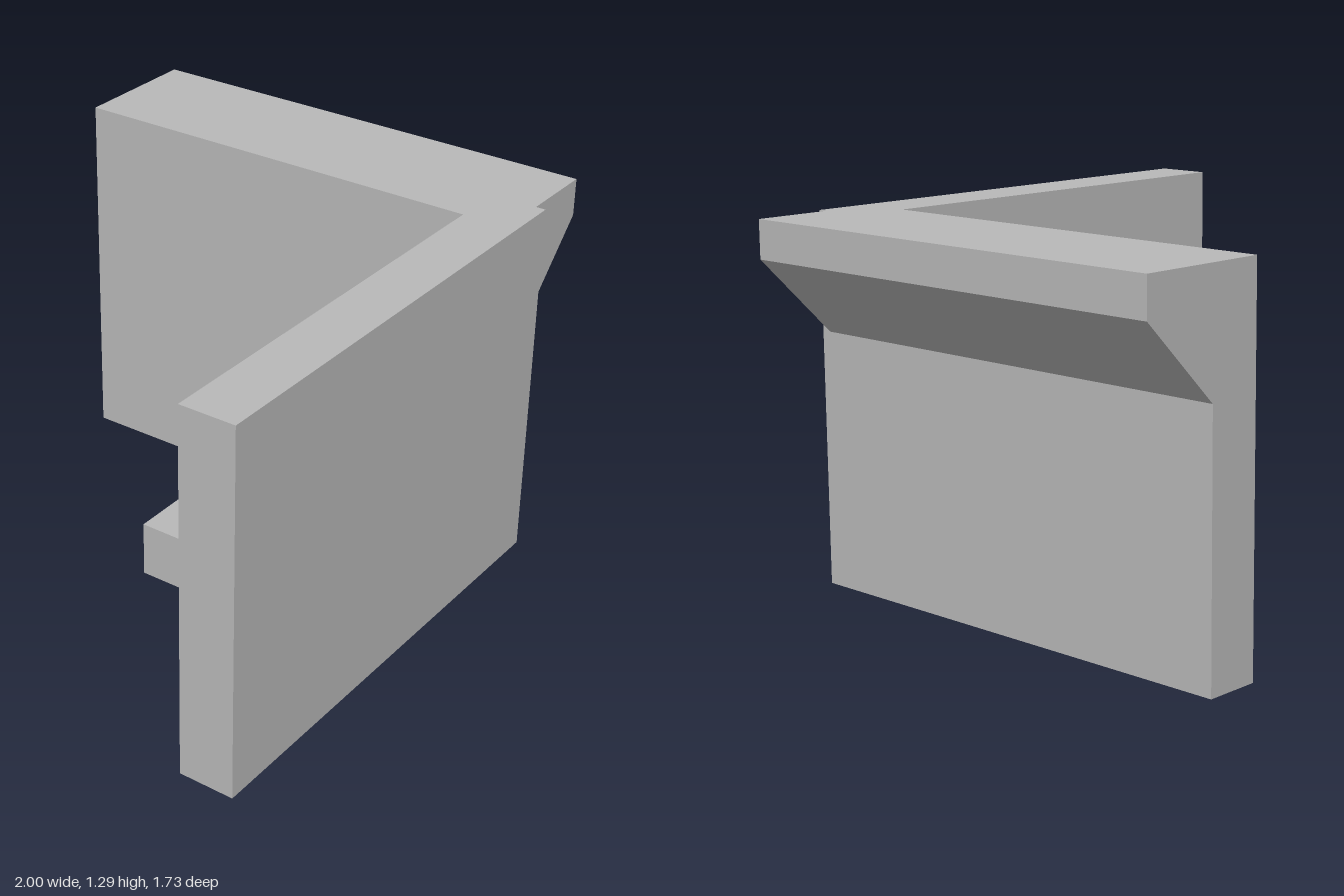
import * as THREE from 'three';

const HEIGHT = 1.294, BACK = -0.863, FRONT = 0.863;

// Outline from [x, y] points
const outline = (points) => new THREE.Shape(points.map(([x, y]) => new THREE.Vector2(x, y)));

// Extrude a plan drawn as (x, -z) upwards from the ground
function extrudeUp(shape, height) {
  const geometry = new THREE.ExtrudeGeometry(shape, { depth: height, bevelEnabled: false, curveSegments: 32 });
  return geometry.rotateX(-Math.PI / 2);
}

export function createModel() {
  const grey = new THREE.MeshStandardMaterial({ color: 0xb8b8b8 });
  grey.name = 'plain grey';
  const group = new THREE.Group();
  group.name = 'cornerBracket';

  const add = (name, geometry) => {
    const mesh = new THREE.Mesh(geometry, grey);
    mesh.name = name;
    group.add(mesh);
    return mesh;
  };

  // Two walls meeting in an L
  add('cornerWalls', extrudeUp(outline([
    [-1, -FRONT], [0.722, -FRONT], [0.722, -BACK], [0.53, -BACK], [0.53, -0.667], [-1, -0.667],
  ]), HEIGHT));

  // Square foot in the inner corner, with a screw hole
  const foot = outline([[-0.217, -0.667], [0.53, -0.667], [0.53, 0.08], [-0.217, 0.08]]);
  foot.holes.push(new THREE.Path().absarc(0.265, -0.4, 0.06, 0, Math.PI * 2, true));
  add('foot', extrudeUp(foot, 0.2));

  // Overhanging lip with a sloped underside, stopping short of the front
  const lip = outline([[0.722, 0.887], [1, 1.162], [1, HEIGHT], [0.722, HEIGHT]]);
  const lipLength = 0.828 - BACK;
  add('lip', new THREE.ExtrudeGeometry(lip, { depth: lipLength, bevelEnabled: false })).position.z = BACK;

  return group;
}
